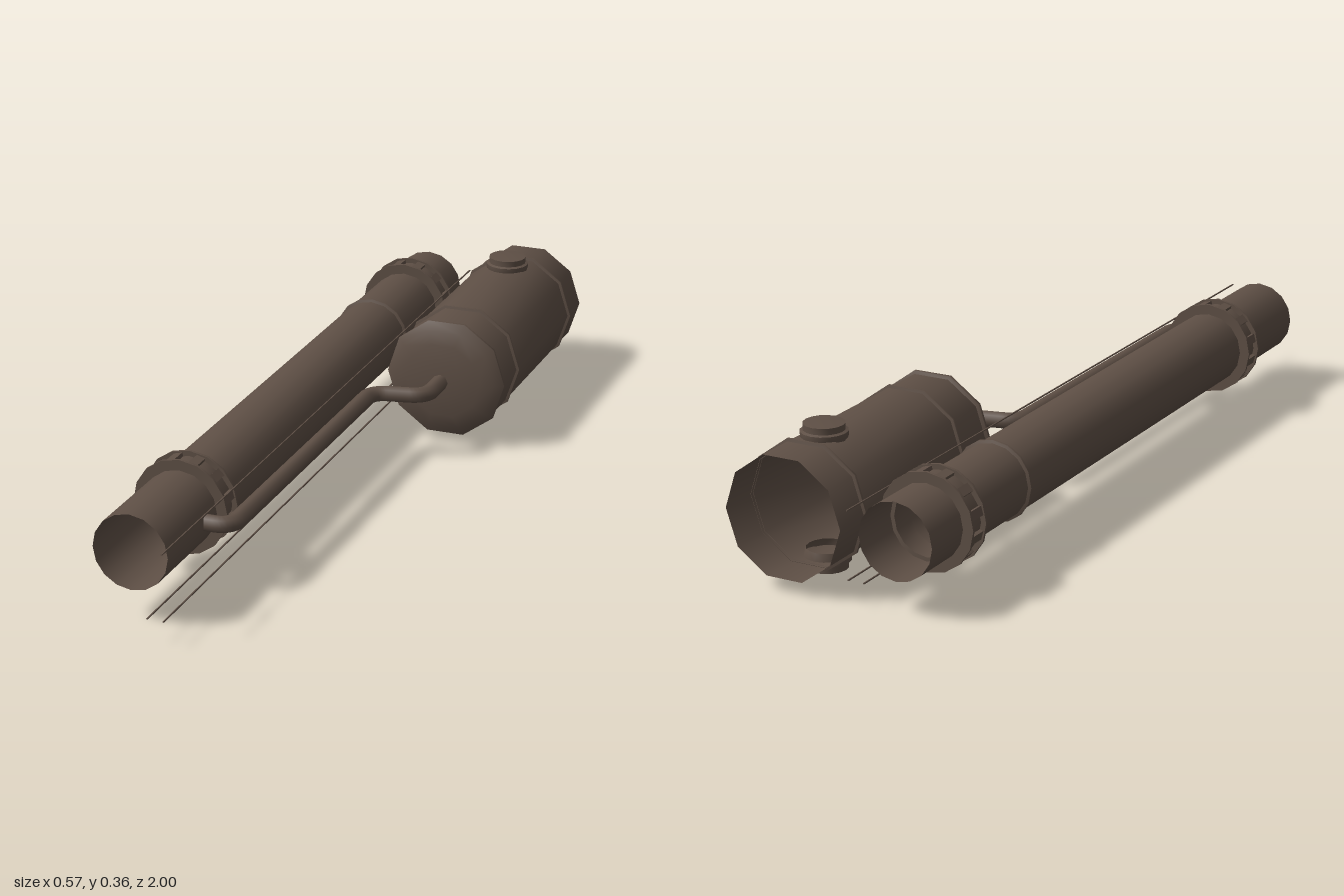
import * as THREE from 'three';
import { toCreasedNormals } from 'three/addons/utils/BufferGeometryUtils.js';

const AXIS_Y = 0.178;

export function createModel() {
  const model = new THREE.Group();
  const brown = new THREE.MeshStandardMaterial({ color: 0x5e4f45, side: THREE.DoubleSide });
  brown.name = 'dark brown metal';

  const add = (name, geometry, parent = model) => {
    const mesh = new THREE.Mesh(geometry, brown);
    mesh.name = name;
    parent.add(mesh);
    return mesh;
  };
  // Turned profile of [radius, height] points, with sharp steps kept sharp
  const turned = (profile, sides) => toCreasedNormals(new THREE.LatheGeometry(
    profile.map(([r, h]) => new THREE.Vector2(r, h)), sides, Math.PI / 2), 0.7);
  // The same, lying along z
  const turnedZ = (profile, sides) => turned(profile, sides).rotateX(Math.PI / 2);

  // Main pipe, open at both ends
  const pipe = new THREE.Group();
  pipe.name = 'mainPipe';
  pipe.position.set(-0.166, AXIS_Y, 0);
  model.add(pipe);
  add('pipeWall', turnedZ([[0.093, -0.995], [0.093, 0.915]], 16), pipe);
  add('pipeSeam', turnedZ([[0.092, -0.566], [0.1, -0.563], [0.1, -0.557], [0.092, -0.554]], 16), pipe);

  // Ribbed collars with raised rims
  for (const z of [0.62, -0.83]) {
    const collar = new THREE.Group();
    collar.name = 'collar';
    collar.position.z = z;
    pipe.add(collar);
    add('collarRing', turnedZ([
      [0.083, -0.032], [0.119, -0.032], [0.119, -0.025], [0.106, -0.025],
      [0.106, 0.025], [0.119, 0.025], [0.119, 0.032], [0.083, 0.032], [0.083, -0.032],
    ], 16), collar);
    for (let i = 0; i < 12; i++) {
      const angle = (i + 0.5) / 12 * Math.PI * 2;
      const rib = add('collarRib', new THREE.BoxGeometry(0.014, 0.022, 0.052), collar);
      rib.position.set(Math.cos(angle) * 0.106, Math.sin(angle) * 0.106, 0);
      rib.rotation.z = angle;
    }
  }

  // Ten-sided tank, open at the back, with thin bands and a shallow dome
  const tank = new THREE.Group();
  tank.name = 'tank';
  tank.position.set(0.125, AXIS_Y, 0);
  model.add(tank);
  add('tankWall', turnedZ([[0.151, -0.995], [0.151, -0.34]], 10), tank);
  for (const z of [-0.892, -0.46]) {
    add('tankBand', turnedZ([[0.15, z - 0.005], [0.158, z - 0.003], [0.158, z + 0.003], [0.15, z + 0.005]], 10), tank);
  }
  add('tankDome', turnedZ([
    [0.15, -0.346], [0.159, -0.342], [0.159, -0.335], [0.135, -0.321],
    [0.1, -0.311], [0.05, -0.305], [0, -0.303],
  ], 10), tank);

  // Capped bosses above and below the tank
  for (const side of [1, -1]) {
    const boss = add(side > 0 ? 'topBoss' : 'bottomBoss', turned([
      [0.049, 0.125], [0.056, 0.146], [0.056, 0.156], [0.049, 0.159], [0.049, 0.174], [0, 0.179],
    ], 16), tank);
    boss.position.set(-0.002, 0, -0.82);
    if (side < 0) boss.rotation.x = Math.PI;
  }

  // Feed tube from the tank dome, bending into the main pipe
  const corners = [
    [0.122, -0.3], [0.122, -0.2], [-0.015, -0.17], [-0.015, 0.705], [-0.167, 0.705], [-0.167, 0.62],
  ].map(([x, z]) => new THREE.Vector3(x, AXIS_Y, z));
  const path = new THREE.CurvePath();
  let from = corners[0];
  for (let i = 1; i < corners.length - 1; i++) {
    const c = corners[i];
    const bend = 0.042;
    const enter = c.clone().add(corners[i - 1].clone().sub(c).setLength(bend));
    const leave = c.clone().add(corners[i + 1].clone().sub(c).setLength(bend));
    path.add(new THREE.LineCurve3(from, enter));
    path.add(new THREE.QuadraticBezierCurve3(enter, c, leave));
    from = leave;
  }
  path.add(new THREE.LineCurve3(from, corners[corners.length - 1]));
  add('feedTube', new THREE.TubeGeometry(path, 150, 0.021, 8, false));

  // Thin wires running the whole length
  for (const [x, y] of [[-0.087, 0.067], [-0.047, 0.067], [-0.047, 0.23]]) {
    add('wire', new THREE.BoxGeometry(0.003, 0.003, 2)).position.set(x, y, 0);
  }

  return model;
}
